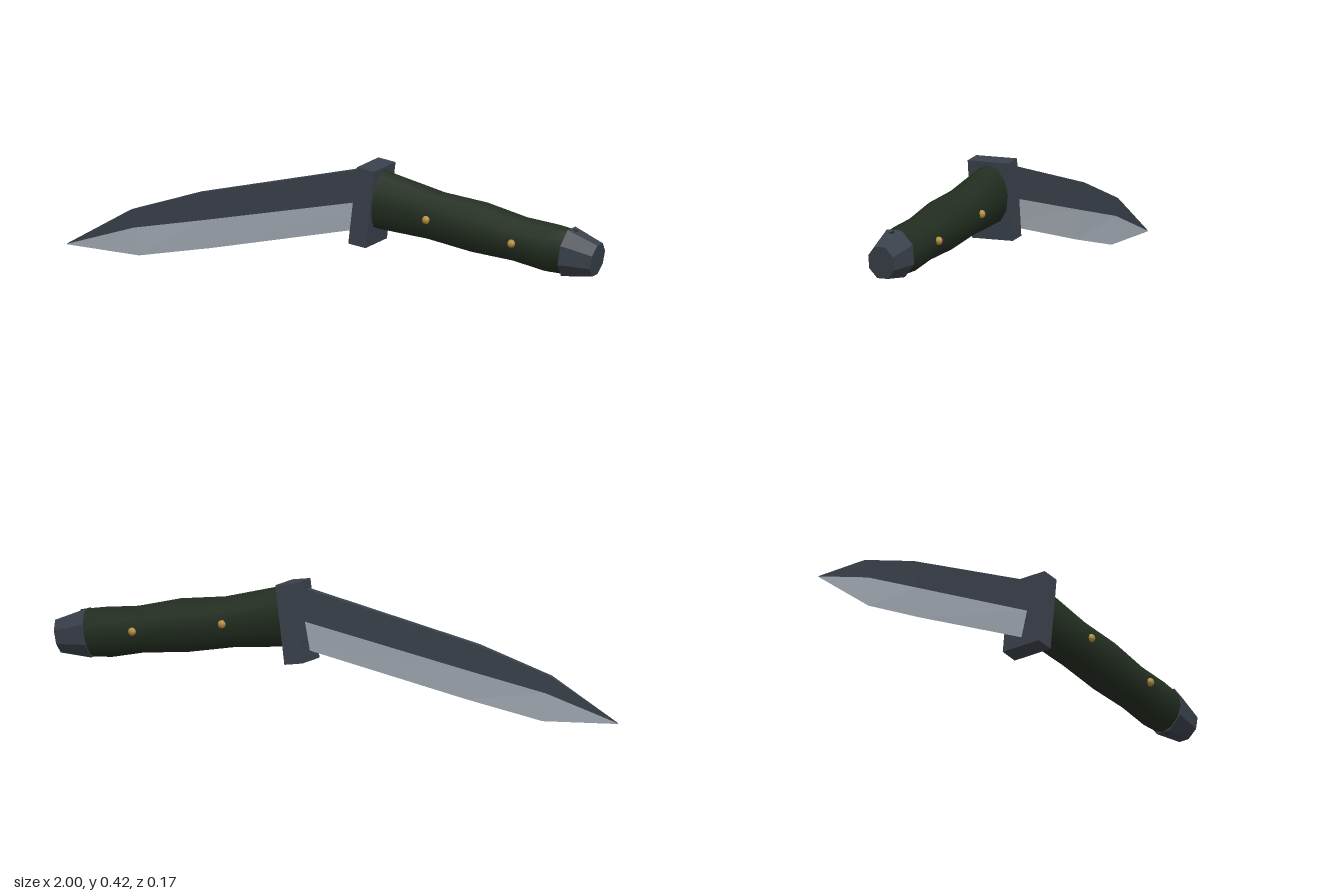
import * as THREE from 'three';

const steel = new THREE.MeshStandardMaterial({ name: 'dark steel', color: 0x3a414b });
const honed = new THREE.MeshStandardMaterial({ name: 'honed steel', color: 0xa9b1ba });
const grip = new THREE.MeshStandardMaterial({ name: 'green grip', color: 0x222d20 });
const brass = new THREE.MeshStandardMaterial({ name: 'brass', color: 0xb58d3e });

// Flat-shaded geometry from a list of triangle corner points
function facets(points) {
  const g = new THREE.BufferGeometry();
  g.setAttribute('position', new THREE.Float32BufferAttribute(points.flat(), 3));
  g.computeVertexNormals();
  return g;
}

// Triangles between two lines of points
function strip(a, b) {
  const out = [];
  for (let i = 0; i + 1 < a.length; i++) out.push(a[i], a[i + 1], b[i + 1], a[i], b[i + 1], b[i]);
  return out;
}

// Elliptical tube along x; each section is [topX, topY, bottomX, bottomY, halfWidth]
function loft(sections, sides, offset, flat) {
  const pos = [], index = [], n = sections.length;
  const k = flat ? 1 / Math.cos(Math.PI / sides) : 1;
  const ring = ([tx, ty, bx, by, w]) => {
    for (let j = 0; j < sides; j++) {
      const a = offset + (j / sides) * Math.PI * 2, c = Math.cos(a) * k / 2;
      pos.push((tx + bx) / 2 + (tx - bx) * c, (ty + by) / 2 + (ty - by) * c, w * k * Math.sin(a));
    }
  };
  sections.forEach(ring);
  for (let i = 0; i + 1 < n; i++) {
    for (let j = 0; j < sides; j++) {
      const a = i * sides + j, b = i * sides + (j + 1) % sides;
      index.push(a, b, a + sides, b, b + sides, a + sides);
    }
  }
  // End caps with their own vertices, so the rim stays sharp
  ring(sections[n - 1]);
  ring(sections[0]);
  const end = n * sides, start = end + sides;
  for (let j = 1; j + 1 < sides; j++) {
    index.push(end, end + j, end + j + 1, start, start + j + 1, start + j);
  }
  const g = new THREE.BufferGeometry();
  g.setAttribute('position', new THREE.Float32BufferAttribute(pos, 3));
  g.setIndex(index);
  const result = flat ? g.toNonIndexed() : g;
  result.computeVertexNormals();
  return result;
}

export function createModel() {
  const model = new THREE.Group();
  model.name = 'knife';
  const add = (name, geometry, material) => {
    const mesh = new THREE.Mesh(geometry, material);
    mesh.name = name;
    model.add(mesh);
    return mesh;
  };

  // Blade lines from guard to tip, with half thickness at each station
  const thick = [0.014, 0.013, 0.009, 0.0005];
  const line = (pts, side) => pts.map(([x, y], i) => [x, y, side * thick[i]]);
  const spine = [[0.105, 0.4], [-0.5, 0.246], [-0.76, 0.155], [-1, 0.01]];
  const middle = [[0.13, 0.295], [-0.48, 0.156], [-0.745, 0.097], [-1, 0.009]];
  const cutting = [[0.15, 0.205], [-0.46, 0.06], [-0.73, 0.002], [-1, 0.007]];
  const sf = line(spine, 1), sb = line(spine, -1);
  const mf = line(middle, 1), mb = line(middle, -1), edge = line(cutting, 0);
  add('bladeBody', facets([
    ...strip(sb, sf), ...strip(sf, mf), ...strip(mb, sb),
    sf[0], mf[0], mb[0], sf[0], mb[0], sb[0], mf[0], edge[0], mb[0],
  ]), steel);
  add('bladeEdge', facets([...strip(mf, edge), ...strip(edge, mb)]), honed);

  // Tilted guard block
  const guard = add('guard', new THREE.BoxGeometry(0.065, 0.266, 0.15), steel);
  guard.position.set(0.144, 0.288, 0);
  guard.rotation.z = -0.122;

  // Wavy grip
  add('handle', loft([
    [0.175, 0.41, 0.15, 0.204, 0.066],
    [0.4, 0.358, 0.37, 0.19, 0.072],
    [0.56, 0.343, 0.535, 0.165, 0.073],
    [0.71, 0.31, 0.69, 0.155, 0.069],
    [0.83, 0.3, 0.805, 0.134, 0.069],
    [0.915, 0.288, 0.89, 0.132, 0.06],
  ], 12, 0, false), grip);

  // Eight-sided pommel
  add('pommel', loft([
    [0.893, 0.292, 0.868, 0.132, 0.065],
    [1.0, 0.25, 0.98, 0.142, 0.046],
  ], 8, Math.PI / 8, true), steel);

  // Rivets on both sides
  for (const [x, y] of [[0.385, 0.275], [0.705, 0.233]]) {
    for (const side of [1, -1]) {
      const rivet = add('rivet', new THREE.SphereGeometry(0.014, 8, 6), brass);
      rivet.position.set(x, y, side * 0.071);
    }
  }
  return model;
}
